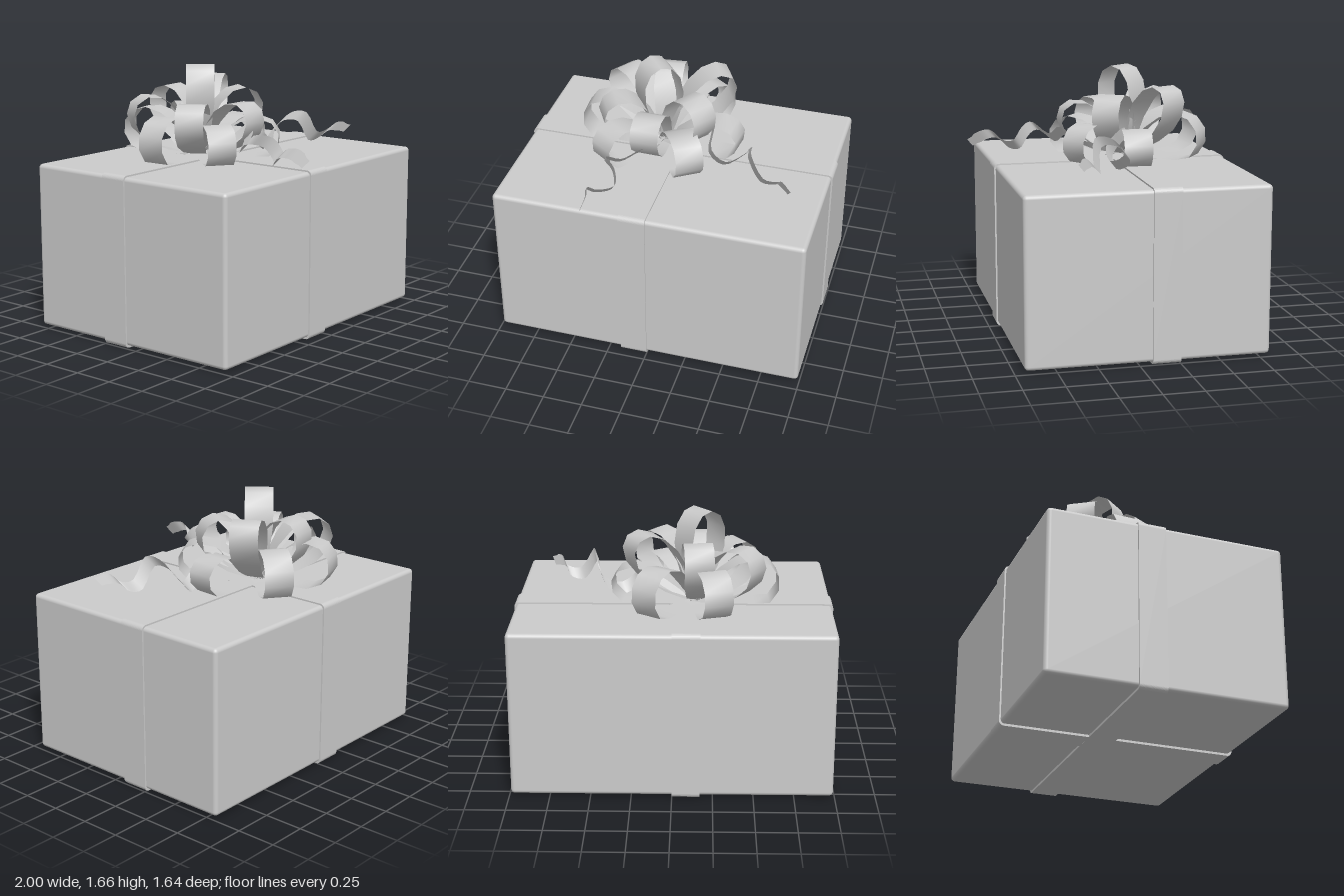
import * as THREE from 'three';
import { RoundedBoxGeometry } from 'three/addons/geometries/RoundedBoxGeometry.js';

const material = new THREE.MeshStandardMaterial({ color: 0xcccccc, side: THREE.DoubleSide });
const V = (x, y, z) => new THREE.Vector3(x, y, z);

function mesh(geometry, name) {
  const m = new THREE.Mesh(geometry, material);
  m.name = name;
  return m;
}

// Flat ribbon through centre points, spread to both sides by half-width vectors
function strip(points, halves) {
  const pos = [], index = [];
  points.forEach((p, i) => {
    const h = halves[i];
    pos.push(p.x - h.x, p.y - h.y, p.z - h.z, p.x + h.x, p.y + h.y, p.z + h.z);
    if (i) {
      const a = 2 * (i - 1);
      index.push(a, a + 1, a + 2, a + 1, a + 3, a + 2);
    }
  });
  const g = new THREE.BufferGeometry();
  g.setAttribute('position', new THREE.Float32BufferAttribute(pos, 3));
  g.setIndex(index);
  g.computeVertexNormals();
  return g;
}

// Rounded rectangular band of the given width, wrapped around the box
function band(length, height, width) {
  const r = 0.03, x = length / 2, s = new THREE.Shape();
  s.moveTo(-x + r, 0);
  s.lineTo(x - r, 0);
  s.absarc(x - r, r, r, -Math.PI / 2, 0);
  s.absarc(x - r, height - r, r, 0, Math.PI / 2);
  s.absarc(-x + r, height - r, r, Math.PI / 2, Math.PI);
  s.absarc(-x + r, r, r, Math.PI, Math.PI * 1.5);
  return new THREE.ExtrudeGeometry(s, { depth: width, bevelEnabled: false, curveSegments: 5 })
    .translate(0, 0, -width / 2);
}

// Teardrop bow loop from the knot to a tip, in the upright plane through both
const knot = V(-0.13, 1.08, -0.2);
function bowLoop(tip, height) {
  const out = tip.clone().sub(knot), length = out.length();
  out.normalize();
  const side = V(out.z, 0, -out.x).normalize();
  const up = new THREE.Vector3().crossVectors(out, side).normalize();
  const points = [], halves = [], n = 14;
  for (let i = 0; i <= n; i++) {
    const t = (i / n) * Math.PI * 2;
    const u = length * (1 - Math.cos(t)) / 2;
    const v = height * 0.65 * Math.sin(t) * Math.sin(t / 2);
    const p = knot.clone().addScaledVector(out, u).addScaledVector(up, v);
    p.y = Math.max(p.y, 1.075);
    points.push(p);
    halves.push(side.clone().multiplyScalar(0.045 + 0.045 * Math.min(1, 1.6 * u / length)));
  }
  return strip(points, halves);
}

// Curly loose ribbon end
function tail(path, half) {
  const points = new THREE.CatmullRomCurve3(path.map(p => V(...p))).getPoints(36);
  return strip(points, points.map((_, i) => half.clone().multiplyScalar(i > 34 ? 0.8 : 1)));
}

export function createModel() {
  const group = new THREE.Group();

  // Box
  const box = mesh(new RoundedBoxGeometry(1.98, 1.045, 1.505, 4, 0.025), 'box');
  box.position.set(0, 0.5375, -0.0625);
  group.add(box);

  // Crossing bands
  const across = mesh(band(2, 1.07, 0.175), 'bandAcross');
  across.position.z = -0.1675;
  const along = mesh(band(1.525, 1.069, 0.17), 'bandAlong');
  along.rotation.y = Math.PI / 2;
  along.position.set(-0.085, 0.0005, -0.0625);
  group.add(across, along);

  // Bow loops: tip x, y, z and loop height
  const bow = new THREE.Group();
  bow.name = 'bow';
  [
    // low ring
    [-0.65, 1.25, -0.17, 0.32], [0.38, 1.21, -0.15, 0.26],
    [-0.43, 1.22, 0.22, 0.28], [0.15, 1.22, 0.22, 0.28],
    [-0.28, 1.28, -0.67, 0.3], [0.17, 1.27, -0.61, 0.32],
    // middle ring
    [-0.14, 1.39, 0.23, 0.26], [-0.5, 1.42, -0.44, 0.28],
    [-0.47, 1.39, -0.01, 0.27], [0.16, 1.47, 0.0, 0.28],
    [0.24, 1.53, -0.39, 0.26],
    // top
    [-0.16, 1.49, -0.49, 0.26], [-0.18, 1.66, -0.16, 0.26],
  ].forEach(([x, y, z, h], i) => bow.add(mesh(bowLoop(V(x, y, z), h), `bowLoop${i + 1}`)));
  group.add(bow);

  // Loose ends
  group.add(mesh(tail([
    [-0.13, 1.09, -0.15], [-0.14, 1.16, 0.1], [-0.17, 1.24, 0.22], [-0.28, 1.18, 0.27], [-0.35, 1.25, 0.37],
    [-0.27, 1.23, 0.45], [-0.25, 1.15, 0.51], [-0.34, 1.14, 0.57], [-0.38, 1.2, 0.64],
    [-0.36, 1.2, 0.71], [-0.37, 1.15, 0.8],
  ], V(0.015, 0.03, 0.025)), 'frontTail'));
  group.add(mesh(tail([
    [-0.1, 1.09, -0.18], [0.1, 1.2, -0.16], [0.21, 1.28, -0.11], [0.22, 1.17, 0], [0.32, 1.09, 0],
    [0.44, 1.15, -0.06], [0.49, 1.26, 0.03], [0.51, 1.27, 0.14], [0.6, 1.13, 0.17],
    [0.69, 1.14, 0.19], [0.73, 1.19, 0.25], [0.8, 1.17, 0.31],
  ], V(0.015, 0.03, 0.025)), 'sideTail'));

  return group;
}
